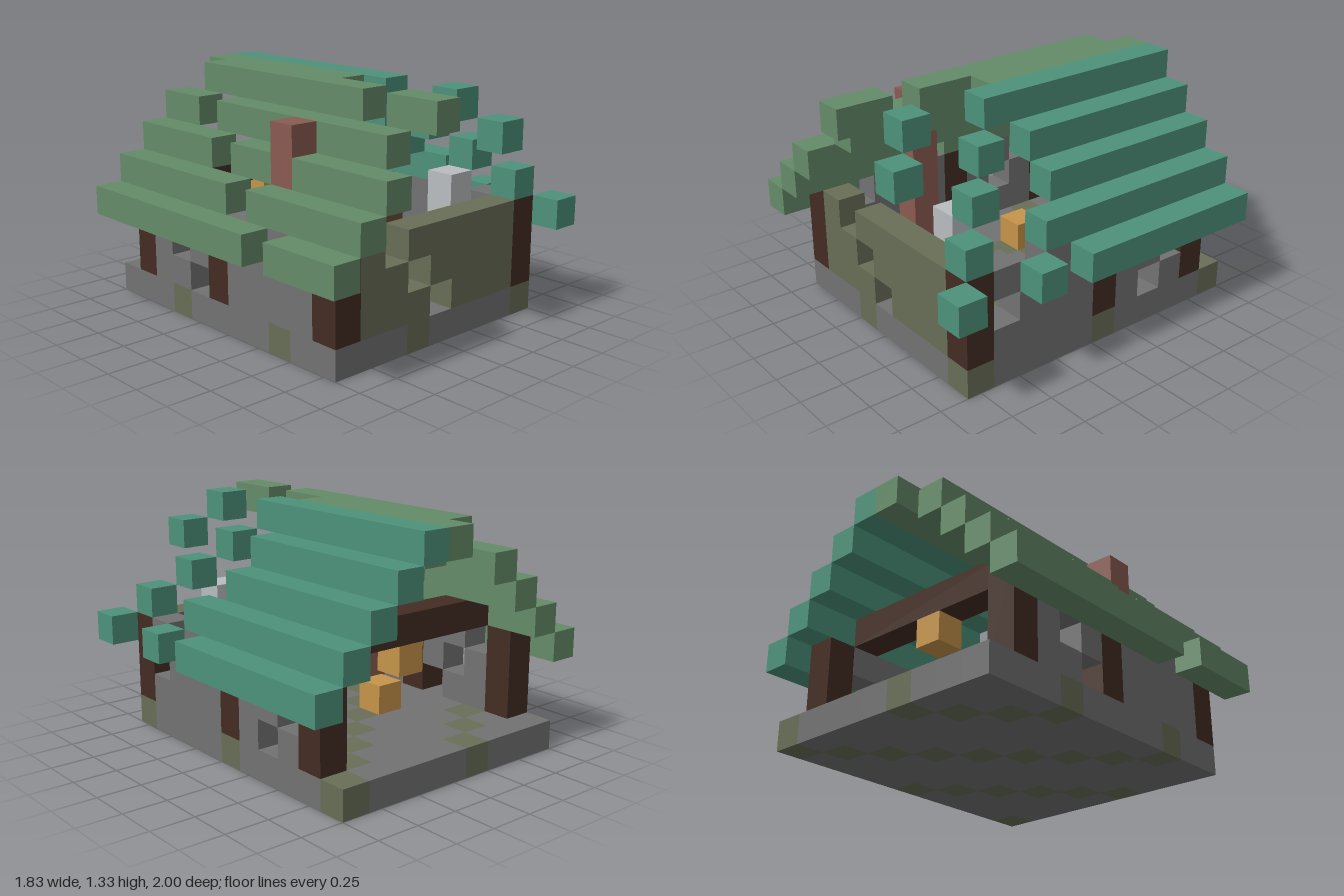
import * as THREE from 'three';

const U = 1 / 6; // one block

const material = (name, color) => {
  const m = new THREE.MeshStandardMaterial({ color });
  m.name = name;
  return m;
};

export function createModel() {
  const house = new THREE.Group();
  house.name = 'ruinedCottage';

  const stone = material('stone', 0x727272);
  const moss = material('mossyStone', 0x686e57);
  const wood = material('darkWood', 0x432c22);
  const green = material('greenTile', 0x648b68);
  const teal = material('tealTile', 0x4d927a);
  const brick = material('brick', 0x8a5b50);
  const pale = material('paleStone', 0xb9bdc0);
  const amber = material('amber', 0xc6944a);

  const group = (name) => {
    const g = new THREE.Group();
    g.name = name;
    house.add(g);
    return g;
  };

  // Box covering whole blocks: (i, j, k) is its lowest corner in block units
  const block = (parent, name, mat, i, j, k, nx = 1, ny = 1, nz = 1) => {
    const mesh = new THREE.Mesh(new THREE.BoxGeometry(nx * U, ny * U, nz * U), mat);
    mesh.position.set((i + nx / 2 - 5.5) * U, (j + ny / 2) * U, (k + nz / 2 - 6) * U);
    mesh.name = name;
    parent.add(mesh);
  };

  // Split a row into runs of equal value; calls add(start, length, value), skipping null
  const runs = (from, to, value, add) => {
    let start = from;
    for (let n = from; n <= to; n++) {
      const v = value(n);
      if (n === to || value(n + 1) !== v) {
        if (v) add(start, n - start + 1, v);
        start = n + 1;
      }
    }
  };

  // Foundation with diagonal bands of moss
  const foundation = group('foundation');
  for (let i = 1; i <= 9; i++) {
    runs(0, 10, (k) => ((i + k) % 5 === 4 ? moss : stone),
      (k, n, mat) => block(foundation, 'foundationStrip', mat, i, 0, k, 1, 1, n));
  }

  // Corner and middle posts, and the rear tie beam
  const frame = group('timberFrame');
  for (const i of [1, 9]) {
    for (const k of [1, 5, 10]) block(frame, 'post', wood, i, 1, k, 1, 3, 1);
  }
  block(frame, 'tieBeam', wood, 2, 4, 2, 7, 1, 1);

  // Walls with diagonal cracks
  const walls = group('walls');
  for (let j = 1; j <= 3; j++) {
    runs(2, 8, (i) => ((i + j) % 7 === 6 ? null : moss),
      (i, n, mat) => block(walls, 'frontWall', mat, i, j, 10, n, 1, 1));
    for (const [i, crack] of [[1, 5], [9, 4]]) {
      runs(2, 9, (k) => (k === 5 || (k + j) % 7 === crack ? null : stone),
        (k, n, mat) => block(walls, 'sideWall', mat, i, j, k, 1, 1, n));
    }
  }

  // Stepped roof: pierced on the green side, collapsed at the front of the teal side
  const roof = group('roof');
  const leftovers = { 5: [], 6: [7, 10], 7: [8, 11], 8: [9], 9: [7, 10], 10: [8, 11] };
  for (let i = 0; i <= 10; i++) {
    const height = Math.min(3 + i, 13 - i, 7);
    const solid = (k) => (i <= 4
      ? (2 * i + k) % 9 !== 8 && !(i === 2 && k === 7)
      : k <= 6 || leftovers[i].includes(k));
    runs(0, 11, (k) => (solid(k) ? (i <= 5 ? green : teal) : null),
      (k, n, mat) => block(roof, 'roofStep', mat, i, height, k, 1, 1, n));
  }

  // Chimney, broken pillar, rubble and furnishings
  block(house, 'chimney', brick, 2, 1, 7, 1, 6, 1);
  block(house, 'pillar', pale, 7, 1, 9, 1, 4, 1);
  block(house, 'rubble', stone, 5, 1, 9);
  block(house, 'lantern', amber, 5, 3, 2);
  block(house, 'crate', amber, 4, 1, 4);
  block(house, 'brickSeat', brick, 8, 1, 4);

  return house;
}
